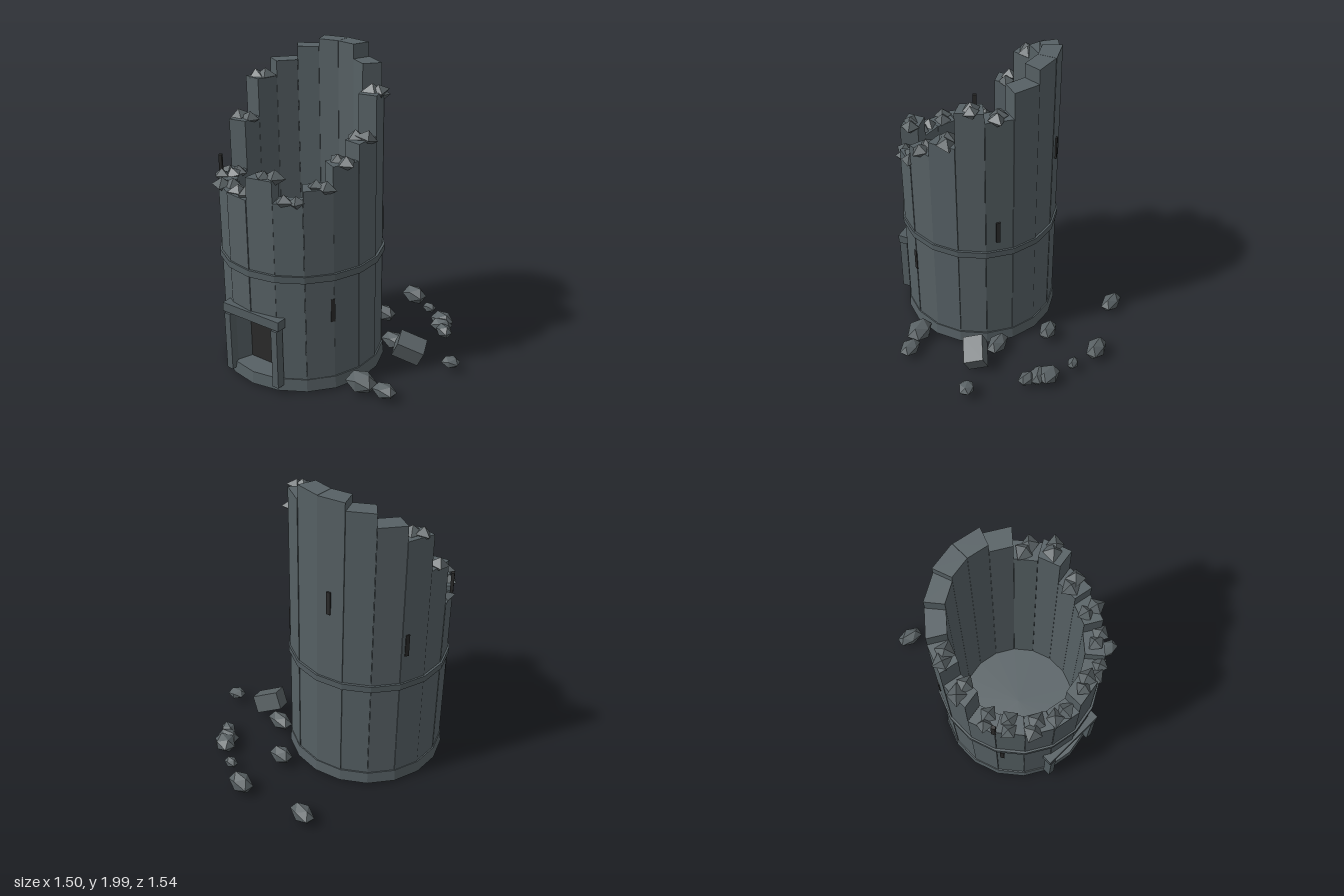
import * as THREE from 'three';

const mat = (name, color) => {
  const m = new THREE.MeshStandardMaterial({ color, flatShading: true });
  m.name = name;
  return m;
};

const SIDES = 18, STEP = (Math.PI * 2) / SIDES;
const CX = -0.225, CZ = 0.248, OUTER = 0.505, INNER = 0.388;

// Wall heights, anticlockwise from the front seen from above
const HEIGHTS = [1.38, 1.25, 1.33, 1.46, 1.56, 1.8, 1.74, 1.91, 2.0, 2.0, 1.95, 1.865, 1.77, 1.53, 1.22, 1.25, 1.24, 1.24];

// Broken stones on the wall top: segment, then x, z of the two stones
const TEETH = [
  [0, -0.14, 0.69, -0.08, 0.66], [1, -0.01, 0.67, 0.06, 0.64], [2, 0.12, 0.54, 0.18, 0.52],
  [3, 0.17, 0.4, 0.24, 0.41], [4, 0.19, 0.25, 0.25, 0.23], [5, 0.19, 0.09, 0.23, 0.07],
  [6, 0.1, -0.04, 0.15, -0.05], [12, -0.67, 0.12, -0.62, 0.09], [13, -0.705, 0.25, -0.63, 0.24],
  [14, -0.67, 0.42, -0.61, 0.39], [15, -0.6, 0.55, -0.55, 0.5], [16, -0.5, 0.65, -0.44, 0.62],
  [17, -0.35, 0.68, -0.28, 0.69],
];

// Fallen rocks: x, y, z, width, height, depth, turn
const ROCKS = [
  [-0.45, 0.07, -0.655, 0.18, 0.11, 0.11, 0.2], [0.02, 0.075, -0.715, 0.18, 0.13, 0.12, 0.1],
  [0.205, 0.07, -0.62, 0.095, 0.07, 0.07, 0], [0.37, 0.075, -0.515, 0.16, 0.11, 0.13, 0.3],
  [0.4, 0.07, -0.455, 0.15, 0.1, 0.1, -0.2], [0.455, 0.07, -0.4, 0.12, 0.09, 0.09, 0.4],
  [0.0, 0.08, -0.36, 0.16, 0.11, 0.11, 0], [0.25, 0.07, -0.1, 0.19, 0.11, 0.11, 0.1],
  [0.69, 0.075, -0.085, 0.12, 0.07, 0.1, -0.2], [0.36, 0.075, 0.43, 0.2, 0.13, 0.15, 0],
  [0.52, 0.065, 0.415, 0.16, 0.09, 0.11, 0.1],
];

// Slit windows: angle in degrees, middle height
const SLITS = [[59, 0.557], [129, 0.945], [189, 1.34], [244, 1.07], [299, 1.28], [304, 0.643]];

const polar = (r, a) => new THREE.Vector2(r * Math.sin(a), -r * Math.cos(a));

// Upright prism from a plan outline
function prism(shape, y0, y1) {
  return new THREE.ExtrudeGeometry(shape, { depth: y1 - y0, bevelEnabled: false })
    .rotateX(-Math.PI / 2).translate(0, y0, 0);
}

function wallBlock(i, y0, y1) {
  const gap = 0.002, a = i * STEP + gap, b = (i + 1) * STEP - gap;
  const r = OUTER + ((i * 7) % 5 - 2) * 0.0012;
  return prism(new THREE.Shape([polar(INNER, a), polar(r, a), polar(r, b), polar(INNER, b)]), y0, y1);
}

function polygon(r) {
  return Array.from({ length: SIDES }, (_, i) => polar(r, i * STEP));
}

export function createModel() {
  let seed = 11;
  const rnd = () => ((seed = (seed * 16807) % 2147483647) / 2147483647);

  const stone = mat('wall stone', 0x566064);
  const trim = mat('trim stone', 0x525c60);
  const rubble = mat('rubble stone', 0x596164);
  const dark = mat('dark opening', 0x2a2a2a);

  const model = new THREE.Group();
  model.name = 'ruinedTower';
  const tower = new THREE.Group();
  tower.name = 'tower';
  tower.position.set(CX, 0, CZ);
  model.add(tower);

  const add = (parent, name, geo, material, x = 0, y = 0, z = 0) => {
    const m = new THREE.Mesh(geo, material);
    m.name = name;
    m.position.set(x, y, z);
    parent.add(m);
    return m;
  };

  // Foundation, also the floor inside
  add(tower, 'foundation', new THREE.CylinderGeometry(0.512, 0.519, 0.08, SIDES), stone, 0, 0.06, 0);

  // Wall blocks; the two front ones begin above the doorway
  HEIGHTS.forEach((h, i) => {
    const overDoor = i === 0 || i === SIDES - 1;
    add(tower, 'wallBlock', wallBlock(i, overDoor ? 0.46 : 0.09, h), stone);
  });

  // Band around the middle
  const band = new THREE.Shape(polygon(0.518));
  band.holes.push(new THREE.Path(polygon(0.49).reverse()));
  add(tower, 'middleBand', prism(band, 0.757, 0.8), trim);

  // Doorway
  add(tower, 'doorOpening', new THREE.BoxGeometry(0.264, 0.37, 0.02), dark, 0, 0.28, 0.358);
  for (const s of [-1, 1]) {
    add(tower, 'doorPost', new THREE.BoxGeometry(0.045, 0.39, 0.055), trim, s * 0.186, 0.255, 0.493);
  }
  add(tower, 'doorLintel', new THREE.BoxGeometry(0.44, 0.06, 0.065), trim, 0.002, 0.49, 0.487);

  // Slit windows
  for (const [deg, y] of SLITS) {
    const a = THREE.MathUtils.degToRad(deg);
    const r = 0.499;
    const slit = add(tower, 'slitWindow', new THREE.BoxGeometry(0.026, 0.15, 0.02), dark,
      r * Math.sin(a), y, r * Math.cos(a));
    slit.rotation.y = a;
  }

  // Broken stones along the wall top
  for (const [i, ...p] of TEETH) {
    for (let k = 0; k < 4; k += 2) {
      const size = 0.055 + rnd() * 0.012;
      const t = add(model, 'brokenStone', new THREE.OctahedronGeometry(size), rubble,
        p[k], HEIGHTS[i] + 0.002, p[k + 1]);
      t.scale.set(1.05, 0.75, 0.9);
      t.rotation.set((rnd() - 0.5) * 0.5, rnd() * 1.2 - 0.3, (rnd() - 0.5) * 0.5);
    }
  }

  // Fallen rocks
  for (const [x, y, z, w, h, d, turn] of ROCKS) {
    const rock = add(model, 'fallenRock', new THREE.IcosahedronGeometry(0.54), rubble, x, y, z);
    rock.scale.set(w, h, d);
    rock.rotation.y = -turn;
  }

  // Fallen squared block
  const block = add(model, 'fallenBlock', new THREE.BoxGeometry(0.18, 0.12, 0.13), rubble, 0.42, 0.115, -0.02);
  block.rotation.set(0.3, 0.35, -0.5);

  return model;
}
